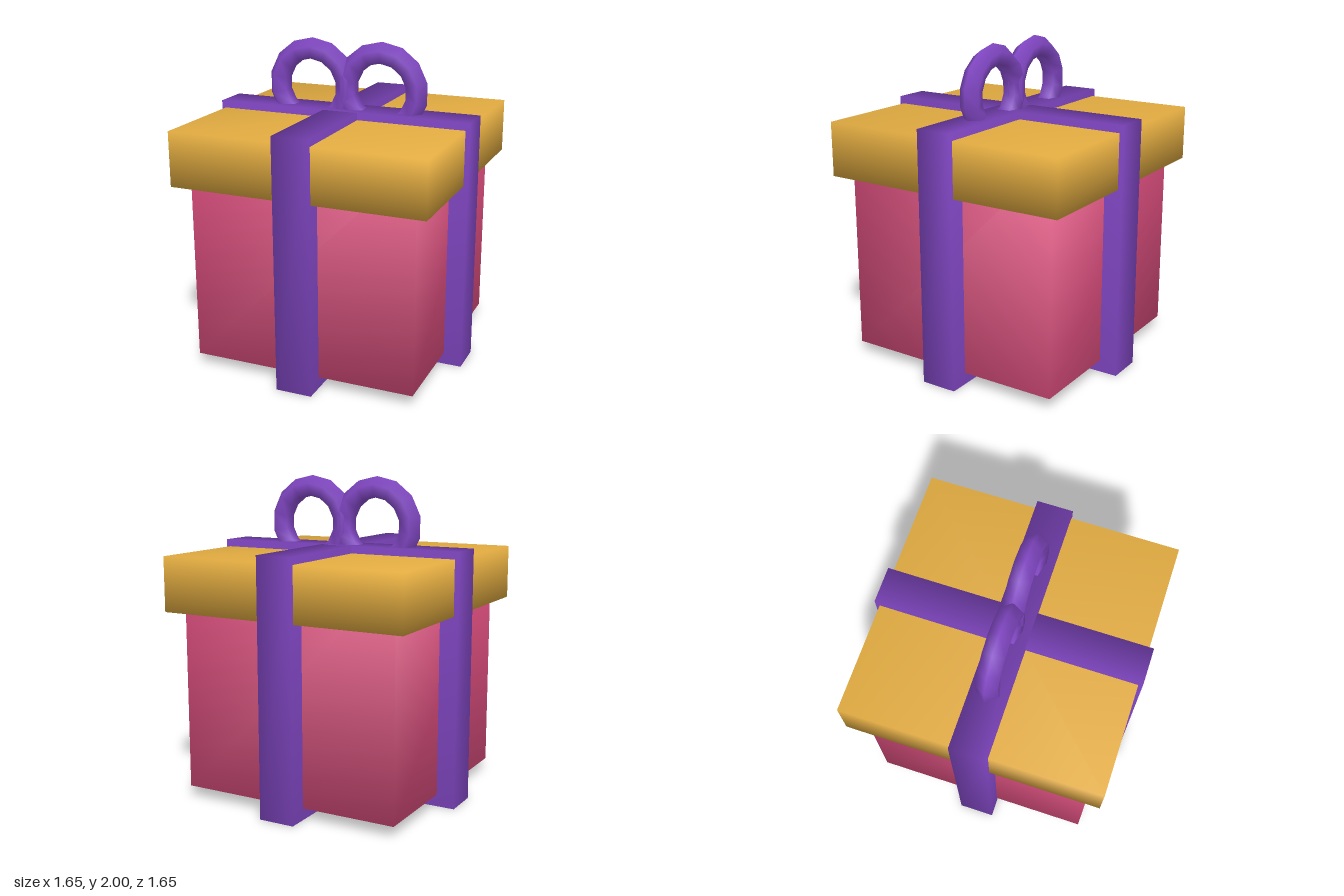
import * as THREE from 'three';
import { mergeVertices } from 'three/addons/utils/BufferGeometryUtils.js';

function material(name, color) {
  const m = new THREE.MeshStandardMaterial({ color });
  m.name = name;
  return m;
}

// Box with shared corners, so its shading rolls softly over the edges
function softBox(width, bottom, top, depth) {
  const box = new THREE.BoxGeometry(width, top - bottom, depth);
  box.deleteAttribute('uv');
  box.deleteAttribute('normal');
  const geometry = mergeVertices(box);
  geometry.computeVertexNormals();
  geometry.translate(0, (top + bottom) / 2, 0);
  return geometry;
}

export function createModel() {
  const group = new THREE.Group();
  group.name = 'giftBox';

  const pink = material('pink paper', 0xe04f80);
  const gold = material('gold lid', 0xe0aa40);
  const purple = material('purple ribbon', 0x8046c2);

  const add = (name, geometry, mat) => {
    const mesh = new THREE.Mesh(geometry, mat);
    mesh.name = name;
    group.add(mesh);
    return mesh;
  };

  // Box and overhanging lid
  add('boxBody', softBox(1.424, 0.074, 1.49, 1.424), pink);
  add('lid', softBox(1.6, 1.19, 1.53, 1.6), gold);

  // Two ribbons crossing over the top and under the base
  add('ribbonSideToSide', softBox(1.652, 0, 1.575, 0.228), purple);
  add('ribbonFrontToBack', softBox(0.228, 0, 1.575, 1.652), purple);

  // Bow loops, partly sunk into the lid
  const loop = new THREE.TorusGeometry(0.23, 0.07, 5, 14);
  loop.rotateZ(Math.PI / 2);
  for (const side of [-1, 1]) {
    const mesh = add(side > 0 ? 'leftBowLoop' : 'rightBowLoop', loop, purple);
    mesh.position.set(side * 0.23, 1.7, 0);
  }

  return group;
}
